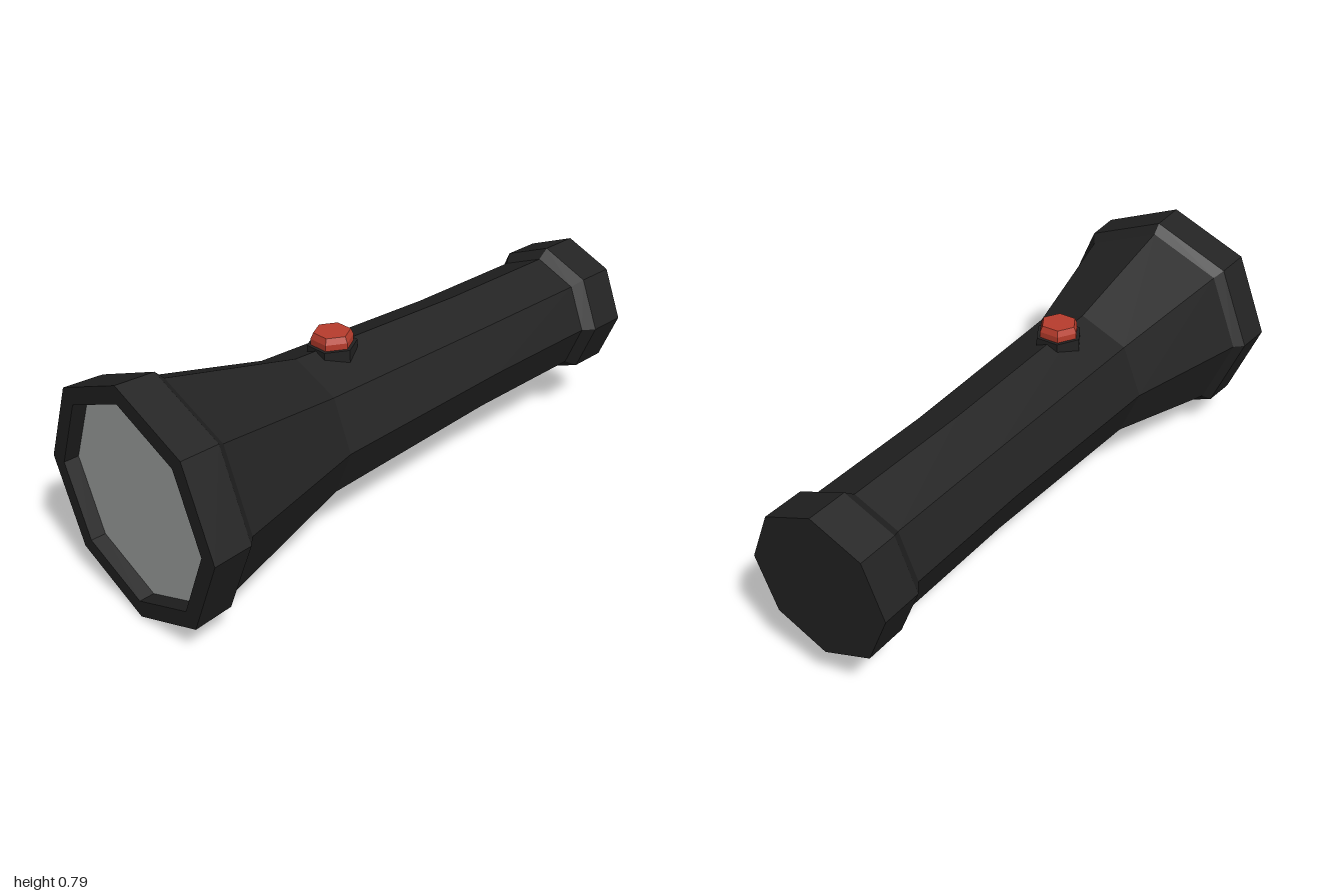
import * as THREE from 'three';

const AXIS_Y = 0.393;

function material(name, color) {
  const m = new THREE.MeshStandardMaterial({ color, flatShading: true });
  m.name = name;
  return m;
}

export function createModel() {
  const group = new THREE.Group();
  group.name = 'flashlight';
  const black = material('black casing', 0x222222);
  const red = material('red button', 0xb93d2d);
  const grey = material('grey glass', 0xa4a7a6);

  const add = (name, geometry, mat, x, y) => {
    const mesh = new THREE.Mesh(geometry, mat);
    mesh.name = name;
    mesh.position.set(x, y, 0);
    group.add(mesh);
    return mesh;
  };

  // Eight-sided casing: [radius, x] from the recessed rim to the closed end cap
  const profile = [
    [0.335, -0.95], [0.335, -1], [0.393, -1], [0.386, -0.87], [0.355, -0.84],
    [0.238, -0.36], [0.214, 0.35], [0.214, 0.82], [0.245, 0.86], [0.245, 1], [0, 1],
  ].map(([r, x]) => new THREE.Vector2(r, x));
  const casing = new THREE.LatheGeometry(profile, 8).rotateZ(-Math.PI / 2);
  add('casing', casing, black, 0, AXIS_Y);

  // Glass set back inside the rim
  const glass = new THREE.CircleGeometry(0.335, 8).rotateY(-Math.PI / 2);
  add('lens', glass, grey, -0.95, AXIS_Y);

  // Six-sided switch: dark collar, red button with a bevelled top
  const collar = new THREE.CylinderGeometry(0.081, 0.081, 0.06, 6);
  add('switchCollar', collar, black, -0.21, 0.605);
  const buttonProfile = [[0.069, 0.62], [0.069, 0.655], [0.06, 0.675], [0, 0.675]]
    .map(([r, y]) => new THREE.Vector2(r, y));
  add('switchButton', new THREE.LatheGeometry(buttonProfile, 6), red, -0.21, 0);

  return group;
}
